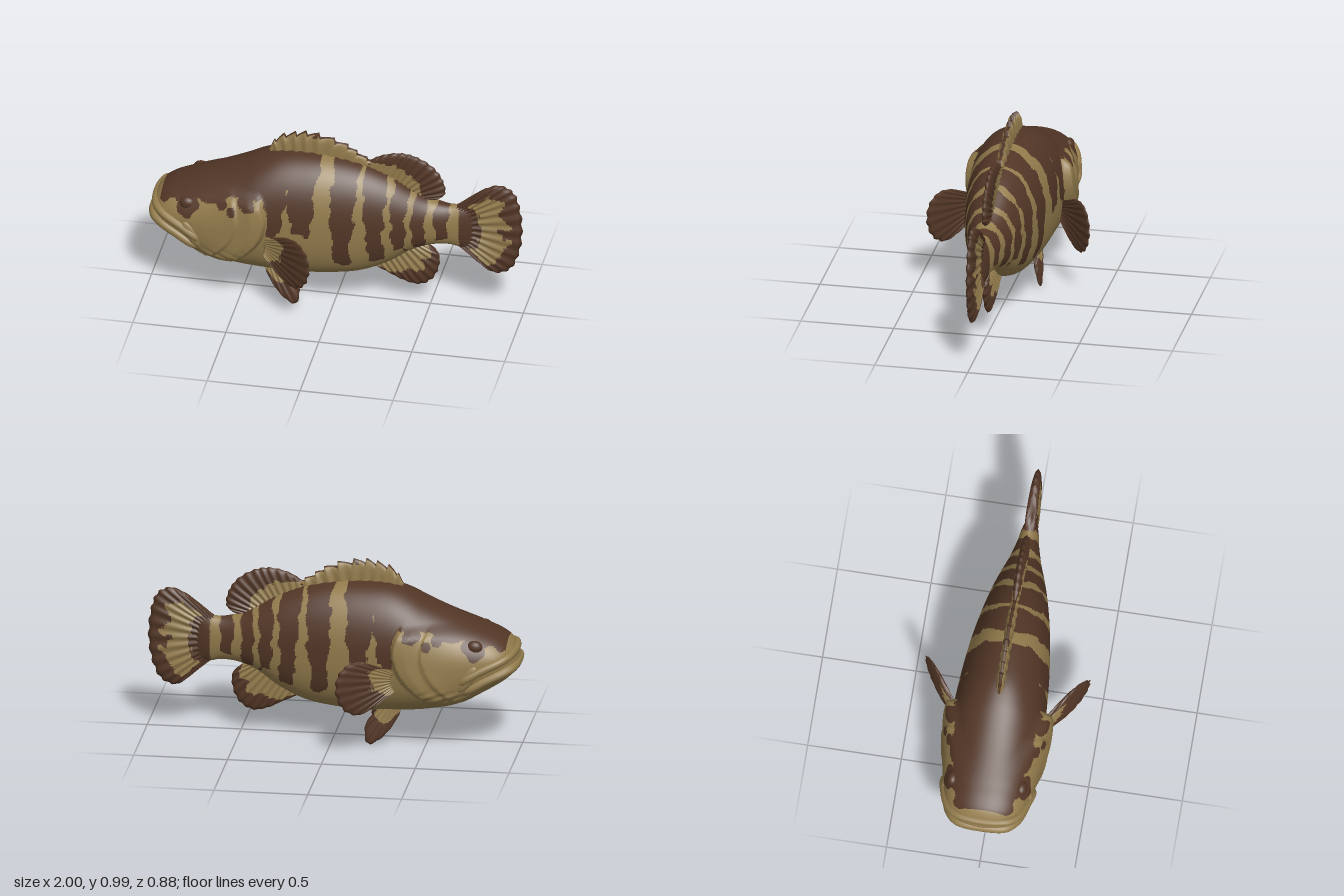
import * as THREE from 'three';

const tan = new THREE.MeshStandardMaterial({ color: 0x927b4c });
tan.name = 'tan';
const brown = new THREE.MeshStandardMaterial({ color: 0x523626 });
brown.name = 'brown';

const step = (x, a, b) => THREE.MathUtils.smoothstep(x, a, b);
const noise = (x, y) =>
  0.5 * Math.sin(37 * x + 3 * Math.sin(23 * y)) + 0.3 * Math.sin(61 * y + 13 * x) + 0.2 * Math.sin(97 * x - 71 * y);

// Grid surface; each triangle takes tan or brown from isBrown(centre, u, v). v wraps round.
function patchMesh(name, nu, nv, point, isBrown) {
  const pos = [], lists = [[], []];
  for (let i = 0; i <= nu; i++)
    for (let j = 0; j < nv; j++) pos.push(...point(i / nu, j / nv).toArray());
  const at = k => new THREE.Vector3(pos[3 * k], pos[3 * k + 1], pos[3 * k + 2]);
  for (let i = 0; i < nu; i++)
    for (let j = 0; j < nv; j++) {
      const k = (j + 1) % nv;
      const a = i * nv + j, b = a + nv, c = (i + 1) * nv + k, d = i * nv + k;
      for (const t of [[a, b, c], [a, c, d]]) {
        const mid = at(t[0]).add(at(t[1])).add(at(t[2])).divideScalar(3);
        lists[isBrown(mid, (i + 0.5) / nu, (j + 0.5) / nv) ? 1 : 0].push(...t);
      }
    }
  const g = new THREE.BufferGeometry();
  g.setAttribute('position', new THREE.Float32BufferAttribute(pos, 3));
  g.setIndex([...lists[0], ...lists[1]]);
  g.addGroup(0, lists[0].length, 0);
  g.addGroup(lists[0].length, lists[1].length, 1);
  g.computeVertexNormals();
  const m = new THREE.Mesh(g, [tan, brown]);
  m.name = name;
  return m;
}

// Body sections: x, top, bottom, half width
const rows = [
  [-0.99, 0.475, 0.455, 0.005], [-0.985, 0.495, 0.44, 0.05], [-0.97, 0.54, 0.42, 0.105],
  [-0.94, 0.585, 0.39, 0.15], [-0.9, 0.615, 0.36, 0.185], [-0.8, 0.66, 0.3, 0.22],
  [-0.7, 0.7, 0.245, 0.237], [-0.6, 0.74, 0.21, 0.246], [-0.5, 0.785, 0.19, 0.25],
  [-0.4, 0.835, 0.178, 0.25], [-0.3, 0.866, 0.17, 0.243], [-0.15, 0.873, 0.167, 0.232],
  [0, 0.86, 0.177, 0.215], [0.15, 0.828, 0.205, 0.19], [0.3, 0.77, 0.275, 0.155],
  [0.4, 0.71, 0.345, 0.125], [0.5, 0.655, 0.385, 0.09], [0.6, 0.63, 0.395, 0.062],
  [0.7, 0.635, 0.38, 0.04], [0.77, 0.6, 0.42, 0.005],
];
const profile = new THREE.CubicInterpolant(rows.map(r => r[0]), rows.flatMap(r => r.slice(1)), 3);
const section = x => {
  const [top, bottom, w] = profile.evaluate(x);
  return { mid: (top + bottom) / 2, h: (top - bottom) / 2, w };
};
const power = y => (y > 0 ? 2.05 : 2.5);
function halfWidth(x, y) {
  const { mid, h, w } = section(x), n = power(y - mid);
  return w * Math.pow(Math.max(0, 1 - Math.pow(Math.abs(y - mid) / h, n)), 1 / n);
}

// Raised gill cover, cheek plate and throat folds
function gillRelief(x, y) {
  const window = step(y, 0.2, 0.32) * (1 - step(y, 0.63, 0.7));
  const d = -0.33 - 2.4 * (y - 0.55) ** 2 - x;
  const cover = 0.042 * step(d, 0, 0.018) * Math.exp(-Math.max(0, d - 0.08) / 0.16);
  const cheek = 0.014 * step(d, 0.15, 0.17) * Math.exp(-Math.max(0, d - 0.16) / 0.12);
  const folds = 0.005 * Math.sin((y + 0.35 * x) * 150) * step(d, -0.02, 0.04) *
    (1 - step(y, 0.3, 0.38)) * step(x, -0.8, -0.65);
  return (cover + cheek + folds) * window;
}

function bodyPoint(u, v) {
  const x = -0.99 + 1.76 * Math.pow(u, 1.25), a = v * Math.PI * 2;
  const { mid, h, w } = section(x), c = Math.cos(a), s = Math.sin(a), e = 2 / power(s);
  const y = mid + h * Math.sign(s) * Math.pow(Math.abs(s), e);
  const z = w * Math.pow(Math.abs(c), e) + gillRelief(x, y) * Math.min(1, Math.abs(c) * 3);
  return new THREE.Vector3(x, y, Math.sign(c) * z);
}

// Bands: x and half width at the back, the same at the belly, lowest y
const bands = [
  [-0.31, 0.095, -0.31, 0.03, 0.48], [-0.16, 0.085, -0.15, 0.03, 0.48], [0.07, 0.075, 0.055, 0.04, 0.3],
  [0.22, 0.062, 0.235, 0.04, 0.33], [0.352, 0.043, 0.355, 0.03, 0.38], [0.457, 0.038, 0.455, 0.03, 0.41],
  [0.57, 0.04, 0.57, 0.03, 0.44],
];
// Head spots: x, y, radius
const spots = [[-0.77, 0.58, 0.058], [-0.58, 0.625, 0.03], [-0.52, 0.6, 0.025], [-0.44, 0.65, 0.045], [-0.67, 0.64, 0.03], [0.07, 0.32, 0.035]];

function bodyBrown({ x, y }) {
  const n = noise(x, y);
  if (x > 0.66) return true;
  if (x < -0.34 && x > -0.93 && y > 0.56 + 0.22 * (x + 0.95) + 0.02 * n) return true;
  if (spots.some(([sx, sy, r]) => Math.hypot(x - sx, y - sy) < r * (1 + 0.25 * n))) return true;
  if (x < -0.33 - 2.4 * (y - 0.55) ** 2) return false;
  const t = (0.86 - y) / 0.56;
  return bands.some(([xt, ht, xb, hb, end]) =>
    Math.abs(x - xt - (xb - xt) * t + 0.008 * n) < ht + (hb - ht) * t + 0.012 * noise(y, x) && y > end + 0.03 * n);
}

// Fin: thin closed shell lofted from a root curve to an edge curve, with rays
function fin(name, { root, edge, z = () => 0, thick = 0.02, rays = 12, trim, isBrown }) {
  const curve = pts => new THREE.CatmullRomCurve3(pts.map(([x, y]) => new THREE.Vector3(x, y, z(x, y))));
  const inner = curve(root), outer = curve(edge);
  const normal = inner.getPoint(1).sub(inner.getPoint(0))
    .cross(outer.getPoint(0.5).sub(inner.getPoint(0.5))).normalize();
  const reach = v => (v < 0.5 ? 2 * v : 2 - 2 * v);
  const scallop = trim || (u => 0.985 + 0.015 * Math.cos(u * rays * Math.PI * 2));
  const point = (u, v) => {
    const r = reach(v), side = v < 0.5 ? 1 : -1;
    const t = thick * Math.sqrt(Math.max(0, 1 - r ** 4)) * Math.sqrt(Math.max(0, 1 - (2 * u - 1) ** 8)) *
      (0.85 + 0.15 * Math.cos(u * rays * Math.PI * 2));
    return inner.getPoint(u).lerp(outer.getPoint(u), r * scallop(u)).addScaledVector(normal, side * t);
  };
  return patchMesh(name, 96, 40, point, (p, u, v) => isBrown(u, reach(v), noise(p.x, p.y), v < 0.5 ? 1 : -1));
}

// Lip: tube round the snout through (x, y) points from the middle to the corner
function lip(name, pts, radius) {
  const half = pts.map(([x, y], i) =>
    new THREE.Vector3(x, y, i === 0 ? 0 : halfWidth(x, y) + (i === pts.length - 1 ? -0.02 : 0.004)));
  const mirrored = half.slice(1).reverse().map(p => new THREE.Vector3(p.x, p.y, -p.z));
  const path = new THREE.CatmullRomCurve3([...mirrored, ...half]);
  const m = new THREE.Mesh(new THREE.TubeGeometry(path, 80, radius, 12), tan);
  m.name = name;
  return m;
}

function ellipsoid(name, material, position, scale, tilt = 0) {
  const m = new THREE.Mesh(new THREE.SphereGeometry(1, 24, 16), material);
  m.name = name;
  m.position.set(...position);
  m.scale.set(...scale);
  m.rotation.z = tilt;
  return m;
}

export function createModel() {
  const fish = new THREE.Group();
  fish.name = 'fish';
  fish.add(patchMesh('body', 250, 128, bodyPoint, bodyBrown));

  // Mouth
  fish.add(lip('upperLip', [[-0.965, 0.53], [-0.945, 0.525], [-0.9, 0.505], [-0.8, 0.46], [-0.72, 0.41], [-0.69, 0.37]], 0.022));
  fish.add(lip('lowerLip', [[-0.975, 0.465], [-0.96, 0.46], [-0.91, 0.44], [-0.82, 0.4], [-0.74, 0.355], [-0.7, 0.34]], 0.025));

  // Fins along the middle
  fish.add(fin('spinyDorsalFin', {
    root: [[-0.36, 0.83], [-0.2, 0.85], [0, 0.84], [0.2, 0.79]],
    edge: [[-0.37, 0.87], [-0.32, 0.945], [-0.23, 0.985], [-0.15, 0.995], [-0.03, 0.975], [0.07, 0.93], [0.14, 0.88], [0.22, 0.84]],
    thick: 0.026, rays: 10, trim: u => 0.78 + 0.22 * ((u * 10) % 1),
    isBrown: (u, r, n) => r > 0.93 || (r > 0.6 && n > 0.7),
  }));
  fish.add(fin('softDorsalFin', {
    root: [[0.15, 0.81], [0.3, 0.75], [0.4, 0.69], [0.49, 0.64]],
    edge: [[0.17, 0.85], [0.25, 0.895], [0.35, 0.915], [0.43, 0.9], [0.52, 0.845], [0.57, 0.77], [0.58, 0.69], [0.545, 0.655]],
    thick: 0.024, rays: 14,
    isBrown: (u, r, n) => r > 0.72 - 0.65 * u + 0.1 * n,
  }));
  fish.add(fin('analFin', {
    root: [[0.16, 0.23], [0.28, 0.29], [0.38, 0.36], [0.46, 0.39]],
    edge: [[0.19, 0.215], [0.28, 0.17], [0.36, 0.13], [0.44, 0.115], [0.51, 0.155], [0.548, 0.24], [0.545, 0.32], [0.5, 0.365]],
    thick: 0.024, rays: 12,
    isBrown: (u, r, n) => r > 0.62 + 0.14 * n,
  }));
  fish.add(fin('tailFin', {
    root: [[0.63, 0.625], [0.66, 0.56], [0.66, 0.46], [0.63, 0.4]],
    edge: [[0.71, 0.67], [0.79, 0.745], [0.88, 0.78], [0.95, 0.745], [0.985, 0.65], [0.998, 0.51], [0.98, 0.37], [0.93, 0.265], [0.85, 0.235], [0.77, 0.29], [0.7, 0.365]],
    thick: 0.03, rays: 18,
    isBrown: (u, r, n) => r < 0.32 + 0.08 * n || r > 0.74 + 0.14 * n || u < 0.22 + 0.05 * n || u > 0.82 + 0.08 * n,
  }));

  // Paired parts
  for (const side of [1, -1]) {
    const label = side > 0 ? 'left' : 'right';
    fish.add(ellipsoid(label + 'Eye', brown, [-0.77, 0.585, side * (halfWidth(-0.77, 0.585) - 0.008)], [0.042, 0.036, 0.03]));
    fish.add(ellipsoid(label + 'JawPlate', tan, [-0.735, 0.42, side * (halfWidth(-0.735, 0.42) + 0.002)], [0.035, 0.085, 0.018], 0.6));
    fish.add(fin(label + 'PectoralFin', {
      root: [[-0.35, 0.45], [-0.34, 0.39], [-0.35, 0.33]],
      edge: [[-0.28, 0.475], [-0.21, 0.52], [-0.13, 0.53], [-0.075, 0.48], [-0.062, 0.38], [-0.1, 0.28], [-0.17, 0.235], [-0.25, 0.265], [-0.3, 0.31]],
      z: x => side * (0.225 + 0.75 * (x + 0.35)), thick: 0.014, rays: 14,
      isBrown: (u, r, n, s) => s * side < 0 || r > 0.4 + 0.3 * (0.5 - u) + 0.08 * n,
    }));
    fish.add(fin(label + 'PelvicFin', {
      root: [[-0.37, 0.21], [-0.32, 0.215], [-0.25, 0.21]],
      edge: [[-0.36, 0.165], [-0.31, 0.085], [-0.25, 0.025], [-0.195, 0.003], [-0.175, 0.07], [-0.19, 0.13], [-0.235, 0.175]],
      z: (x, y) => side * (0.11 + 0.2 * (0.19 - y)), thick: 0.016, rays: 7,
      isBrown: (u, r, n) => r > 0.5 + 0.12 * n,
    }));
  }
  return fish;
}
